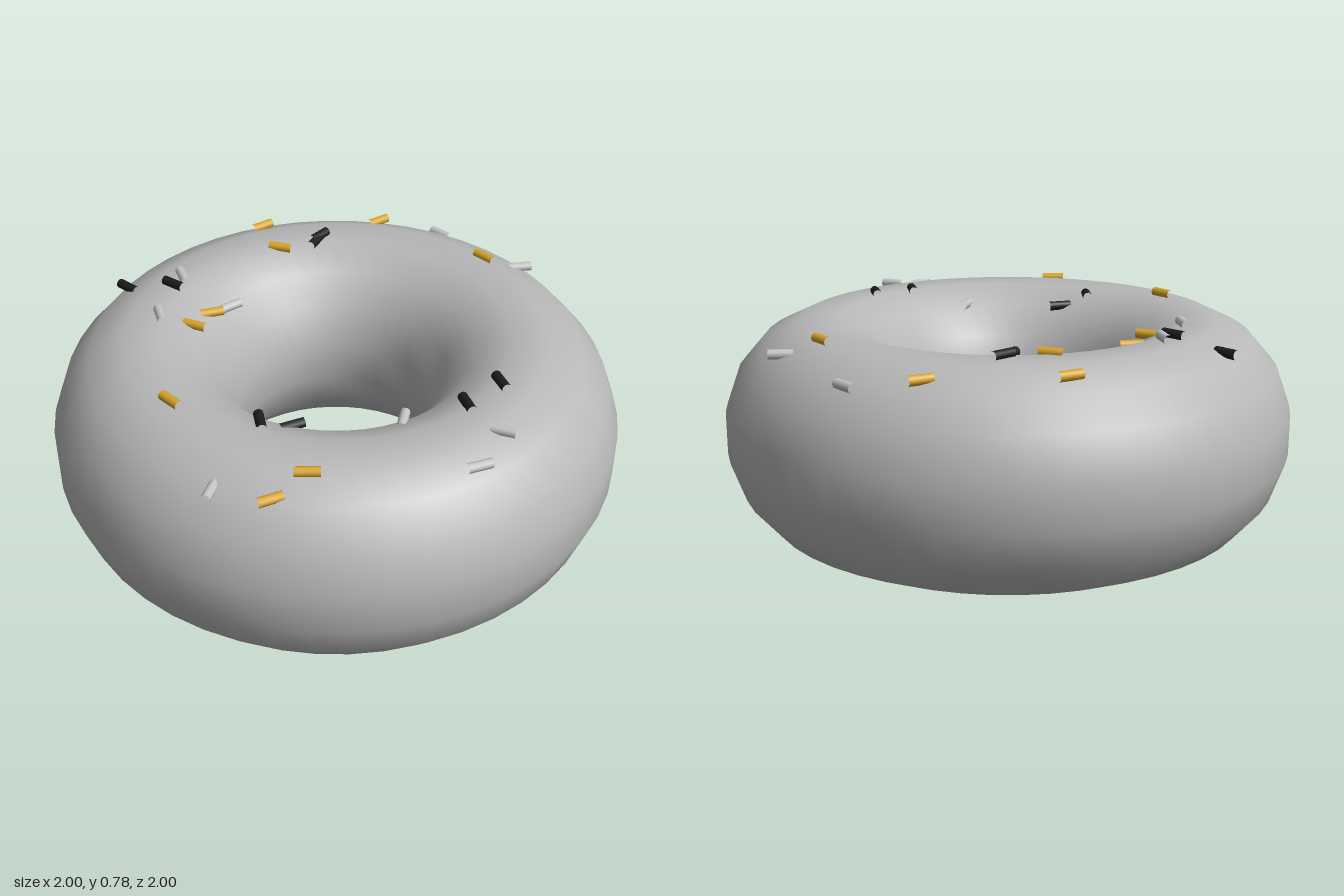
import * as THREE from 'three';
import { mergeVertices } from 'three/addons/utils/BufferGeometryUtils.js';

// Ring cross-section: ellipse centred at radius R, height Y
const R = 0.67, Y = 0.386, A = 0.336, B = 0.386, SIDES = 16;

function ringGeometry() {
  const profile = [];
  for (let i = 0; i <= SIDES; i++) {
    const a = ((i % SIDES) + 0.5) / SIDES * Math.PI * 2;
    profile.push(new THREE.Vector2(R + A * Math.cos(a), Y + B * Math.sin(a)));
  }
  let g = new THREE.LatheGeometry(profile, 48);
  // Weld the seams so the shading is smooth all round
  g.deleteAttribute('uv');
  g.deleteAttribute('normal');
  g = mergeVertices(g, 1e-4);
  g.computeVertexNormals();
  return g;
}

// Height of the ring's upper surface at x, z
function surfaceY(x, z) {
  const t = (Math.hypot(x, z) - R) / A;
  return Y + 0.98 * B * Math.sqrt(Math.max(0, 1 - t * t));
}

// Sprinkles: x, z, then heading in degrees from +x towards +z
const sprinkles = {
  black: [
    [-0.36, -0.75, 80], [-0.26, -0.6, 76], [0.33, -0.505, -22], [0.36, -0.52, -8],
    [-0.5, 0.21, -60], [-0.405, 0.255, 16], [0.053, 0.59, -68], [0.214, 0.585, -70],
  ],
  silver: [
    [-0.205, -0.62, -70], [-0.41, -0.47, -66], [-0.123, -0.447, 4], [0.815, -0.325, 82],
    [0.845, 0.072, 32], [-0.797, 0.34, -32], [-0.112, 0.467, -38], [0.043, 0.762, 60],
    [-0.112, 0.815, 20],
  ],
  gold: [
    [0.27, -0.757, 6], [0.203, -0.56, 56], [0.652, -0.51, 6], [-0.32, -0.393, 63],
    [-0.214, -0.436, 23], [-0.674, -0.035, 85], [0.733, -0.008, 86], [-0.69, 0.5, 16],
    [-0.556, 0.516, 40],
  ],
};

export function createModel() {
  const model = new THREE.Group();
  const mat = (name, color) => new THREE.MeshStandardMaterial({ name, color });
  const materials = {
    black: mat('black', 0x1c1c1c),
    silver: mat('silver', 0xc4c4c4),
    gold: mat('gold', 0xd9a52a),
  };

  const ring = new THREE.Mesh(ringGeometry(), mat('doughGrey', 0xb8b8b8));
  ring.name = 'doughnutRing';
  model.add(ring);

  // Open tubes lying flat on the glaze
  const tube = new THREE.CylinderGeometry(0.017, 0.017, 0.084, 10, 1, true).rotateZ(Math.PI / 2);
  for (const [colour, list] of Object.entries(sprinkles)) {
    const group = new THREE.Group();
    group.name = colour + 'Sprinkles';
    for (const [x, z, deg] of list) {
      const s = new THREE.Mesh(tube, materials[colour]);
      s.name = colour + 'Sprinkle';
      s.position.set(x, surfaceY(x, z) + 0.012, z);
      s.rotation.y = -THREE.MathUtils.degToRad(deg);
      group.add(s);
    }
    model.add(group);
  }
  return model;
}
